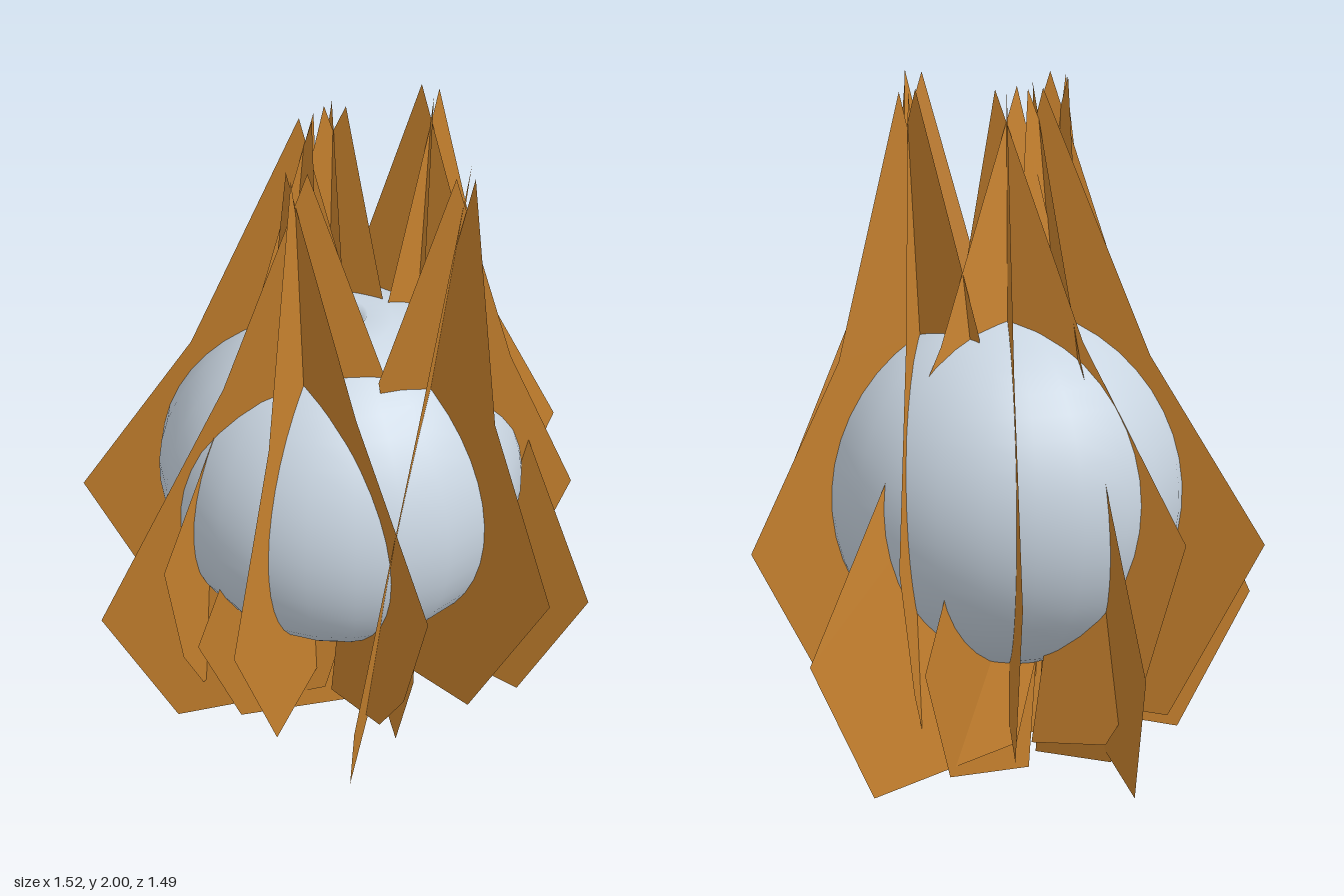
import * as THREE from 'three';

export function createModel() {
  const model = new THREE.Group();
  const amber = new THREE.MeshStandardMaterial({ name: 'amber', color: 0xc8822e, side: THREE.DoubleSide });
  const paleBlue = new THREE.MeshStandardMaterial({ name: 'paleBlue', color: 0xc9d5e1 });
  const centreZ = 0.02;

  // Orb: lathed ball with a small dimple at its crown
  const R = 0.525, orbY = 0.85;
  const profile = [];
  for (let i = 0; i <= 22; i++) {
    const a = -Math.PI / 2 + (Math.PI - 0.14) * i / 22;
    profile.push(new THREE.Vector2(Math.max(0, R * Math.cos(a)), orbY + R * Math.sin(a)));
  }
  profile.push(new THREE.Vector2(0.06, 1.35), new THREE.Vector2(0.045, 1.34), new THREE.Vector2(0, 1.338));
  const orb = new THREE.Mesh(new THREE.LatheGeometry(profile, 24), paleBlue);
  orb.name = 'orb';
  orb.position.z = centreZ;
  model.add(orb);

  // Flat blade: outline in (u, y), placed by a rule giving [radius, tangent]
  function blade(name, outline, place) {
    const geo = new THREE.ShapeGeometry(new THREE.Shape(outline.map(([u, y]) => new THREE.Vector2(u, y))));
    const p = geo.attributes.position;
    for (let i = 0; i < p.count; i++) {
      const y = p.getY(i), [r, t] = place(p.getX(i), y);
      p.setXYZ(i, r, y, t);
    }
    geo.computeVertexNormals();
    const mesh = new THREE.Mesh(geo, amber);
    mesh.name = name;
    return mesh;
  }

  // Five flames of crossing blades, each leaning by its own tip radius
  [0.43, 0.31, 0.09, 0.08, 0.29].forEach((tip, i) => {
    const flame = new THREE.Group();
    flame.name = 'flame' + (i + 1);
    const m = (tip - 0.09) / 0.34;
    const grow = 0.03 * (1 - m);
    const base = 0.204 + 0.6 * grow;
    const lean = (tip - base) / 1.53;
    const sheet = (s, y) => base + 0.559 * s + lean * (y - 0.47);

    // Wide low blade
    flame.add(blade('wideBlade', [
      [-0.03, 2], [-0.19, 1.33], [-0.16, 0.7], [-0.02, 0.14 - 0.04 * m], [0.36 + grow, 0.08 - 0.05 * m],
      [0.53 + grow, 0.46 + grow], [0.19, 1.31],
    ], (s, y) => [sheet(s, y), s]));

    // Narrower blade on the other side
    flame.add(blade('narrowBlade', [
      [-0.03, 1.99], [-0.14, 1.33], [-0.02, 0.8], [0.1, 0.47], [0.06, 0.16], [0.26, 0.19],
      [0.36, 0.38], [0.45 + 0.6 * grow, 0.76 + grow], [0.2, 1.32],
    ], (s, y) => [sheet(s, y), -s]));

    // Upright blade pointing straight out
    flame.add(blade('outerBlade', [
      [tip + 0.02, 1.99], [tip - 0.14, 1.33], [0.22, 0.7], [0.17, 0.2], [0.49, 0.18],
      [0.76, 0.72], [0.39 + 0.36 * tip, 1.25],
    ], (r) => [r, 0]));

    // Short blade tucked under the orb
    flame.add(blade('underBlade', [
      [0.2, 0.72], [0.44, 0.65], [0.48, 0.44], [0.36, 0.09], [0.08, 0], [0.1, 0.4],
    ], (r, y) => [r, 0.9 * r - 0.14 - 0.1 * y]));

    flame.rotation.y = -i * Math.PI * 2 / 5;
    flame.position.z = centreZ;
    model.add(flame);
  });

  return model;
}
